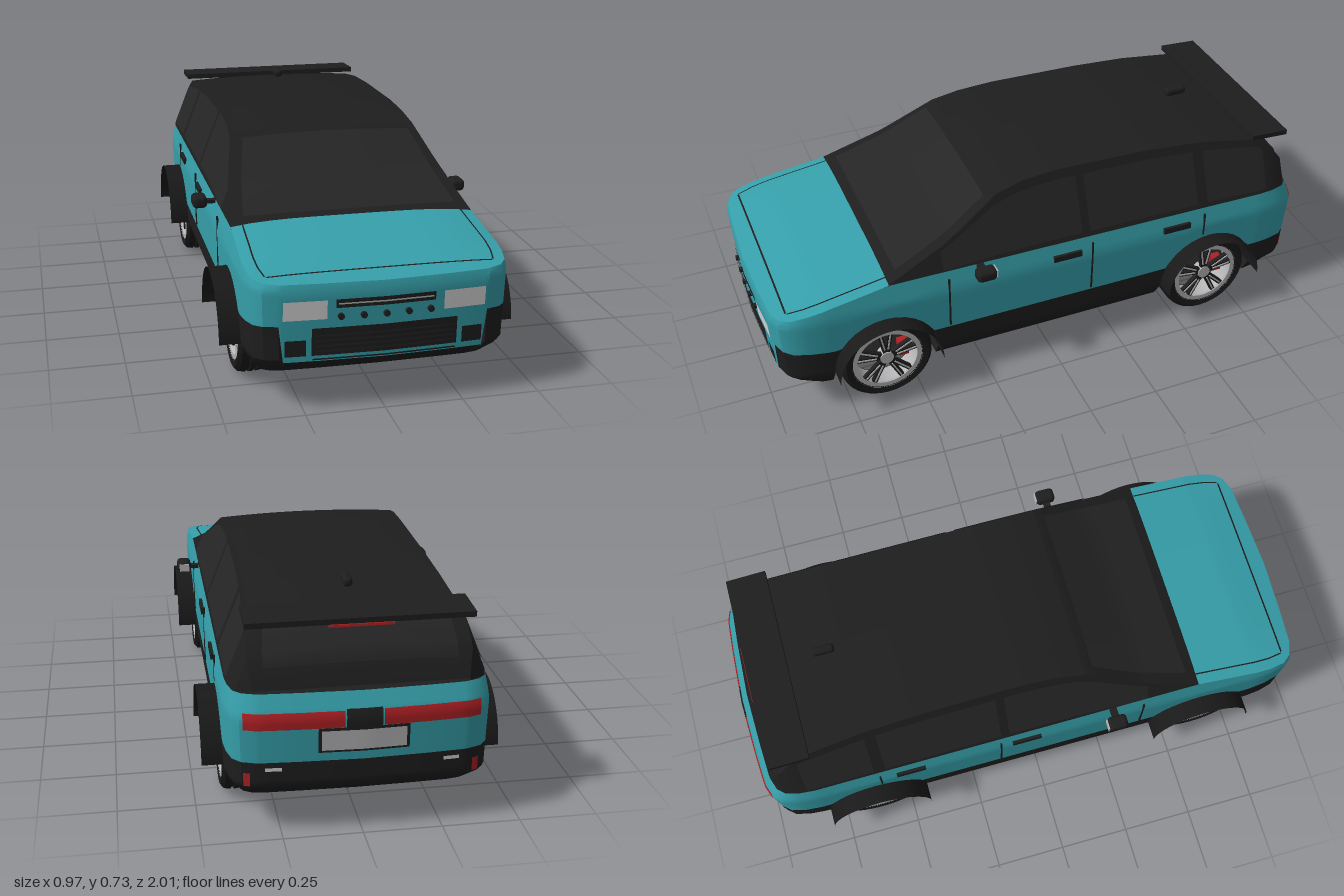
import * as THREE from 'three';
import { toCreasedNormals } from 'three/addons/utils/BufferGeometryUtils.js';
import { RoundedBoxGeometry } from 'three/addons/geometries/RoundedBoxGeometry.js';

const material = (name, color) => {
  const m = new THREE.MeshStandardMaterial({ color, side: THREE.DoubleSide });
  m.name = name;
  return m;
};

// Linear interpolation in a table of [key, value], keys ascending
function interp(table, k) {
  if (k <= table[0][0]) return table[0][1];
  for (let i = 1; i < table.length; i++) {
    const [a, va] = table[i - 1], [b, vb] = table[i];
    if (k <= b) return va + (vb - va) * (k - a) / (b - a);
  }
  return table[table.length - 1][1];
}
const lerp = THREE.MathUtils.lerp;
const range = (a, b, n) => Array.from({ length: n + 1 }, (_, i) => lerp(a, b, i / n));

// Surface through points fn(u, v) for every u in us and v in vs
function grid(us, vs, fn, crease = 0.5) {
  const pos = [], idx = [], n = vs.length;
  us.forEach(u => vs.forEach(v => pos.push(...fn(u, v))));
  for (let i = 0; i < us.length - 1; i++) for (let j = 0; j < n - 1; j++) {
    const a = i * n + j, b = a + n;
    idx.push(a, b, a + 1, b, b + 1, a + 1);
  }
  const g = new THREE.BufferGeometry();
  g.setAttribute('position', new THREE.Float32BufferAttribute(pos, 3));
  g.setIndex(idx);
  return toCreasedNormals(g, crease);
}

// Plan of the rounded body ends, wheel arches and height rules
const corner = [[0.418, 0.82], [0.413, 0.88], [0.4, 0.935], [0.375, 0.965], [0.33, 0.982], [0.318, 0.984], [0.2, 0.992], [0, 1]];
const AXLE = 0.615, AXLE_Y = 0.165, ARCH = 0.185, FLOOR = 0.1;
const tuckTable = [[0.1, 0.89], [0.165, 0.985], [0.25, 0.99], [0.4, 1], [0.48, 0.965]];
const tuck = y => interp(tuckTable, y);
const pullIn = (z, y) => z - Math.sign(z) * Math.max(0, Math.abs(z) - 0.8) / 0.2 * (1 - tuck(y));
const bodyPoint = (p, y) => [p.x * tuck(y), y, pullIn(p.z, y)];
const belt = z => z > 0.59 ? lerp(0.478, 0.415, (z - 0.59) / 0.41) : lerp(0.468, 0.478, (z + 1) / 1.59);
const claddingTop = p => p.z > 0.95 && Math.abs(p.x) < 0.325 ? 0.165
  : interp([[-0.8, 0.25], [-0.4, 0.24], [0.43, 0.24], [0.8, 0.265], [0.98, 0.285]], p.z);

const archPoints = zc => {
  const pts = range(Math.PI, 0, 16).map(a => ({ x: 0.418, z: zc + ARCH * Math.cos(a), lo: AXLE_Y + ARCH * Math.sin(a) }));
  const edge = z => ({ x: 0.418, z, lo: FLOOR });
  return [edge(zc - ARCH), ...pts, edge(zc + ARCH)];
};
const half = [
  ...corner.map(([x, z]) => ({ x, z: -z, lo: FLOOR })).reverse(),
  ...archPoints(-AXLE),
  ...range(-0.35, 0.35, 6).map(z => ({ x: 0.418, z, lo: FLOOR })),
  ...archPoints(AXLE),
  ...corner.map(([x, z]) => ({ x, z, lo: FLOOR })),
];
const loop = [...half, ...half.map(p => ({ ...p, x: -p.x })).reverse()];

// Greenhouse section: s runs from -1 (right belt) over the roof to 1 (left belt)
const roofTable = [[-0.95, 0.475], [-0.92, 0.575], [-0.87, 0.635], [-0.82, 0.67], [-0.6, 0.705], [-0.39, 0.72],
  [-0.05, 0.727], [0.08, 0.718], [0.18, 0.695], [0.38, 0.575], [0.59, 0.48]];
const rim = half.map(p => bodyPoint(p, belt(p.z))).map(([x, , z]) => [z, x]);
function cabinPoint(z, s, out = 0) {
  const b = belt(z), top = Math.max(b, interp(roofTable, z)), x0 = interp(rim, z);
  const drop = Math.min(0.012, 0.1 * (top - b)), ys = top - drop, xs = x0 - 0.4 * (ys - b);
  const a = Math.abs(s), sign = Math.sign(s);
  if (a <= 0.5) return [xs * s * 2, top - drop * 4 * s * s + out, z + (z < -0.8 ? -out : z > 0.15 ? out : 0)];
  const q = a * 2 - 1;
  return [sign * (lerp(xs, x0, q) + out), lerp(ys, b, q), z];
}

export function createModel() {
  const teal = material('teal paint', 0x36a0ab);
  const black = material('black paint', 0x1e1e1e);
  const glass = material('dark glass', 0x252525);
  const rubber = material('rubber', 0x191919);
  const silver = material('silver', 0xb4b4b6);
  const lamp = material('lamp white', 0xd2d2d4);
  const red = material('red', 0xb02024);

  const car = new THREE.Group();
  car.name = 'car';
  const add = (name, geo, mat, x = 0, y = 0, z = 0, parent = car) => {
    const m = new THREE.Mesh(geo, mat);
    m.name = name;
    m.position.set(x, y, z);
    parent.add(m);
    return m;
  };
  const box = (name, mat, w, h, d, x, y, z, parent) => add(name, new THREE.BoxGeometry(w, h, d), mat, x, y, z, parent);

  // Painted sides with black cladding below
  const rows = range(0, 1, 10);
  add('lowerCladding', grid(loop, rows, (p, t) => bodyPoint(p, lerp(p.lo, Math.max(p.lo, claddingTop(p)), t))), black);
  add('bodySides', grid(loop, rows, (p, t) => bodyPoint(p, lerp(Math.max(p.lo, claddingTop(p)), belt(p.z), t))), teal);

  // Bonnet, deck under the cabin, floor
  const cowl = { x: 0.418, z: 0.59 }, across = range(-1, 1, 12);
  const bonnet = lift => (p, v) => {
    const [x, y, z] = bodyPoint(p, belt(p.z));
    return [x * v, y + lift + 0.016 * Math.min(1, (1 - p.z) * 6) * (1 - v ** 4), z];
  };
  add('bonnet', grid([cowl, ...half.filter(p => p.z > 0.59)], across, bonnet(0)), teal);
  const bonnetSide = [cowl, ...half.filter(p => p.z > 0.59 && p.z < 0.94)];
  for (const s of [-1, 1]) add('bonnetSeam', grid(bonnetSide, [s * 0.9, s * 0.912], bonnet(0.002)), black);
  add('bonnetFrontSeam', grid([{ x: 0.4, z: 0.935 }, { x: 0.396, z: 0.941 }], range(-0.9, 0.9, 12), bonnet(0.002)), black);
  add('deck', grid([...half.filter(p => p.z < 0.59), cowl], [-1, 1], (p, v) => {
    const [x, y, z] = bodyPoint(p, belt(p.z));
    return [x * v, y, z];
  }), black);
  add('floor', grid(half, [-1, 1], (p, v) => {
    const [x, y, z] = bodyPoint(p, FLOOR);
    return [(p.lo > FLOOR ? 0.3 : x) * v, y, z];
  }), black);

  // Cabin and glass
  const stations = [...new Set([...range(-0.95, 0.59, 30), ...roofTable.map(r => r[0])])].sort((a, b) => a - b);
  add('cabin', grid(stations, range(-1, 1, 24), (z, s) => cabinPoint(z, s)), black);
  const pane = (name, z0, z1, s0, s1) =>
    add(name, grid(range(z0, z1, 10), range(s0, s1, 8), (z, s) => cabinPoint(z, s, 0.004)), glass);
  pane('windscreen', 0.21, 0.55, -0.45, 0.45);
  pane('rearWindow', -0.93, -0.84, -0.43, 0.43);
  for (const s of [-1, 1]) {
    pane('frontSideWindow', -0.11, 0.4, s * 0.56, s * 0.96);
    pane('rearSideWindow', -0.56, -0.14, s * 0.56, s * 0.96);
    pane('quarterWindow', -0.84, -0.6, s * 0.56, s * 0.96);
  }

  // Rear wing, aerial and high brake light
  for (const x of [-0.2, 0.2]) box('wingMount', black, 0.03, 0.03, 0.05, x, 0.664, -0.82);
  box('rearWing', black, 0.7, 0.018, 0.14, 0, 0.678, -0.86).rotation.x = -0.05;
  add('aerial', new RoundedBoxGeometry(0.03, 0.03, 0.08, 3, 0.012), black, 0, 0.712, -0.66);
  box('highBrakeLight', red, 0.2, 0.008, 0.006, 0, 0.662, -0.931);

  // Thin plates that follow the curved nose (end = 1) or tail (end = -1)
  const endTable = corner.map(c => [...c]).reverse();
  const plate = (name, mat, end, x0, x1, y0, y1, out = 0.004) =>
    add(name, grid(range(x0, x1, 8), range(y0, y1, 3), (x, y) =>
      [x, y, end * (pullIn(interp(endTable, Math.abs(x) / tuck(y)), y) + out)]), mat);

  // Nose
  plate('upperGrille', black, 1, -0.155, 0.155, 0.338, 0.366);
  plate('grilleTrim', silver, 1, -0.148, 0.148, 0.35, 0.355, 0.007);
  plate('lowerGrille', black, 1, -0.228, 0.228, 0.185, 0.275);
  for (const y of [0.198, 0.215, 0.232, 0.249]) plate('grilleSlat', glass, 1, -0.22, 0.22, y, y + 0.005, 0.008);
  plate('bumperTrim', black, 1, -0.225, 0.225, 0.17, 0.175);
  for (const s of [-1, 1]) {
    plate('headlight', lamp, 1, s * 0.182, s * 0.316, 0.305, 0.366, 0.006);
    plate('airIntake', black, 1, s * 0.245, s * 0.31, 0.185, 0.238);
  }
  for (const x of [-0.14, -0.07, 0, 0.07, 0.14]) {
    const z = interp(endTable, Math.abs(x));
    add('noseSensor', new THREE.CylinderGeometry(0.01, 0.01, 0.02, 12).rotateX(Math.PI / 2), black, x, 0.311, z - 0.004);
  }

  // Tail
  plate('tailPanel', black, -1, -0.055, 0.055, 0.35, 0.42);
  plate('plateSurround', black, -1, -0.14, 0.14, 0.28, 0.362, 0.005);
  plate('numberPlate', silver, -1, -0.13, 0.13, 0.288, 0.354, 0.008);
  for (const s of [-1, 1]) {
    plate('tailLight', red, -1, s * 0.06, s * 0.365, 0.362, 0.415);
    plate('reflector', red, -1, s * 0.345, s * 0.365, 0.17, 0.215);
    plate('reverseLight', lamp, -1, s * 0.25, s * 0.3, 0.222, 0.234);
  }

  // Door seams, handles and mirrors
  for (const s of [-1, 1]) {
    for (const z of [0.385, -0.145, -0.585]) {
      const lo = z < -0.5 ? 0.36 : 0.25;
      box('doorSeam', black, 0.006, 0.45 - lo, 0.006, s * 0.4155, (0.45 + lo) / 2, z);
    }
    for (const z of [-0.05, -0.475]) box('doorHandle', black, 0.014, 0.022, 0.105, s * 0.416, 0.42, z);
    box('mirrorArm', black, 0.06, 0.012, 0.025, s * 0.425, 0.47, 0.27);
    add('mirror', new RoundedBoxGeometry(0.05, 0.042, 0.07, 3, 0.015), black, s * 0.46, 0.474, 0.27);
    box('mirrorGlass', silver, 0.036, 0.028, 0.004, s * 0.46, 0.474, 0.234);
  }

  // Wheel arches
  for (const z of [-AXLE, AXLE])
    add('wheelArch', new THREE.CylinderGeometry(0.183, 0.183, 0.96, 32, 1, true, 0, Math.PI).rotateZ(Math.PI / 2), rubber, 0, AXLE_Y, z);

  // Wheels
  const lathe = pts => toCreasedNormals(new THREE.LatheGeometry(pts.map(p => new THREE.Vector2(...p)), 40).rotateZ(Math.PI / 2), 0.6);
  const tyre = lathe([[0.124, -0.046], [0.148, -0.05], [0.162, -0.038], [0.165, -0.018], [0.158, -0.015], [0.158, -0.009], [0.165, -0.006],
    [0.165, 0.006], [0.158, 0.009], [0.158, 0.015], [0.165, 0.018], [0.162, 0.038], [0.148, 0.05], [0.124, 0.046]]);
  const barrel = lathe([[0.127, -0.047], [0.115, -0.03], [0.115, 0.03], [0.127, 0.047]]);
  const lip = new THREE.RingGeometry(0.107, 0.128, 40).rotateY(Math.PI / 2);
  const hub = new THREE.CylinderGeometry(0.024, 0.024, 0.04, 20).rotateZ(Math.PI / 2);
  const spoke = new THREE.BoxGeometry(0.016, 0.1, 0.017).translate(0, 0.062, 0);
  const accent = new THREE.BoxGeometry(0.004, 0.07, 0.005).translate(0.009, 0.072, 0);
  for (const s of [-1, 1]) for (const z of [-AXLE, AXLE]) {
    const wheel = new THREE.Group();
    wheel.name = 'wheel';
    wheel.position.set(s * 0.365, AXLE_Y, z);
    wheel.rotation.y = s > 0 ? 0 : Math.PI;
    car.add(wheel);
    add('tyre', tyre, rubber, 0, 0, 0, wheel);
    add('rimBarrel', barrel, silver, 0, 0, 0, wheel);
    add('rimLip', lip, silver, 0.046, 0, 0, wheel);
    add('hub', hub, silver, 0.022, 0, 0, wheel);
    for (let i = 0; i < 5; i++) for (const d of [-0.17, 0.17]) {
      const a = i * Math.PI * 0.4 + d;
      add('spoke', spoke, black, 0.03, 0, 0, wheel).rotation.x = a;
      add('spokeAccent', accent, silver, 0.03, 0, 0, wheel).rotation.x = a;
    }
    box('brakeCaliper', red, 0.03, 0.06, 0.035, 0, 0, -s * 0.068, wheel);
  }
  return car;
}
